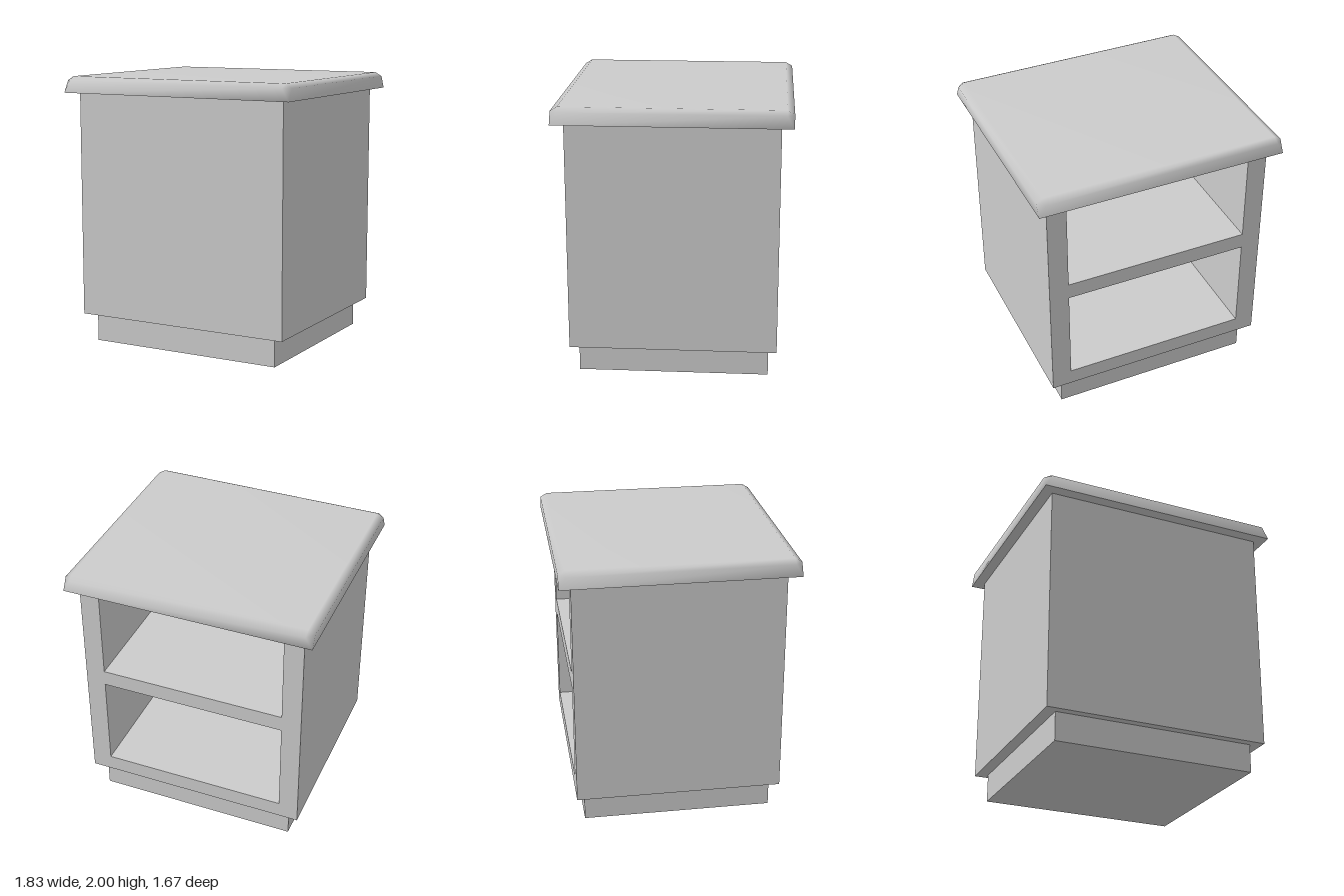
import * as THREE from 'three';

const grey = new THREE.MeshStandardMaterial({ color: 0xcccccc });

function add(group, name, geometry, x = 0, y = 0, z = 0) {
  const mesh = new THREE.Mesh(geometry, grey);
  mesh.name = name;
  mesh.position.set(x, y, z);
  group.add(mesh);
}

// Slab with softened upper edges and corners cut to a point at the underside
function slabGeometry(hx, hz, y0, y1, y2, inset) {
  const positions = [], index = [];
  // Corners run anticlockwise seen from above; each has 4 points:
  // bottom, first rim point, second rim point, top
  const corners = [[1, 1], [1, -1], [-1, -1], [-1, 1]];
  corners.forEach(([sx, sz], i) => {
    const alongX = [sx * (hx - inset), y1, sz * hz];
    const alongZ = [sx * hx, y1, sz * (hz - inset)];
    const rim = i % 2 ? [alongZ, alongX] : [alongX, alongZ];
    positions.push(sx * hx, y0, sz * hz, ...rim[0], ...rim[1],
      sx * (hx - inset), y2, sz * (hz - inset));
  });
  for (let i = 0; i < 4; i++) {
    const a = i * 4, b = ((i + 1) % 4) * 4;
    index.push(a, b, b + 1, a, b + 1, a + 2);             // side
    index.push(a + 2, b + 1, b + 3, a + 2, b + 3, a + 3); // bevel
    index.push(a, a + 2, a + 1, a + 1, a + 2, a + 3);     // corner cut
  }
  index.push(3, 7, 11, 3, 11, 15); // top
  const geometry = new THREE.BufferGeometry();
  geometry.setAttribute('position', new THREE.Float32BufferAttribute(positions, 3));
  geometry.setIndex(index);
  geometry.computeVertexNormals();
  return geometry;
}

export function createModel() {
  const cabinet = new THREE.Group();
  cabinet.name = 'cabinet';

  // Recessed plinth
  add(cabinet, 'plinth', new THREE.BoxGeometry(1.5, 0.21, 1.38), 0, 0.105, 0);

  // Carcass: sides, floor and shelf in one section, open at the back
  const w = 0.835, inner = 0.69, bottom = 0.21, top = 1.88;
  const outline = [[-w, bottom], [w, bottom], [w, top], [inner, top],
    [inner, 1.165], [-inner, 1.165], [-inner, top], [-w, top]];
  const section = new THREE.Shape(outline.map(([x, y]) => new THREE.Vector2(x, y)));
  const lower = [[-inner, 0.33], [-inner, 1.045], [inner, 1.045], [inner, 0.33]];
  section.holes.push(new THREE.Path(lower.map(([x, y]) => new THREE.Vector2(x, y))));
  const panel = 0.14;
  add(cabinet, 'carcassWithShelf',
    new THREE.ExtrudeGeometry(section, { depth: 1.5 - panel, bevelEnabled: false }), 0, 0, -0.75);

  // Closed front
  add(cabinet, 'frontPanel', new THREE.BoxGeometry(2 * w, top - bottom, panel),
    0, (top + bottom) / 2, 0.75 - panel / 2);

  // Overhanging top with its flat underside
  const counter = new THREE.Group();
  counter.name = 'counterTop';
  add(counter, 'counterSlab', slabGeometry(0.915, 0.835, top, 1.97, 2, 0.05));
  add(counter, 'counterUnderside', new THREE.PlaneGeometry(1.83, 1.67).rotateX(Math.PI / 2), 0, top, 0);
  cabinet.add(counter);

  return cabinet;
}
